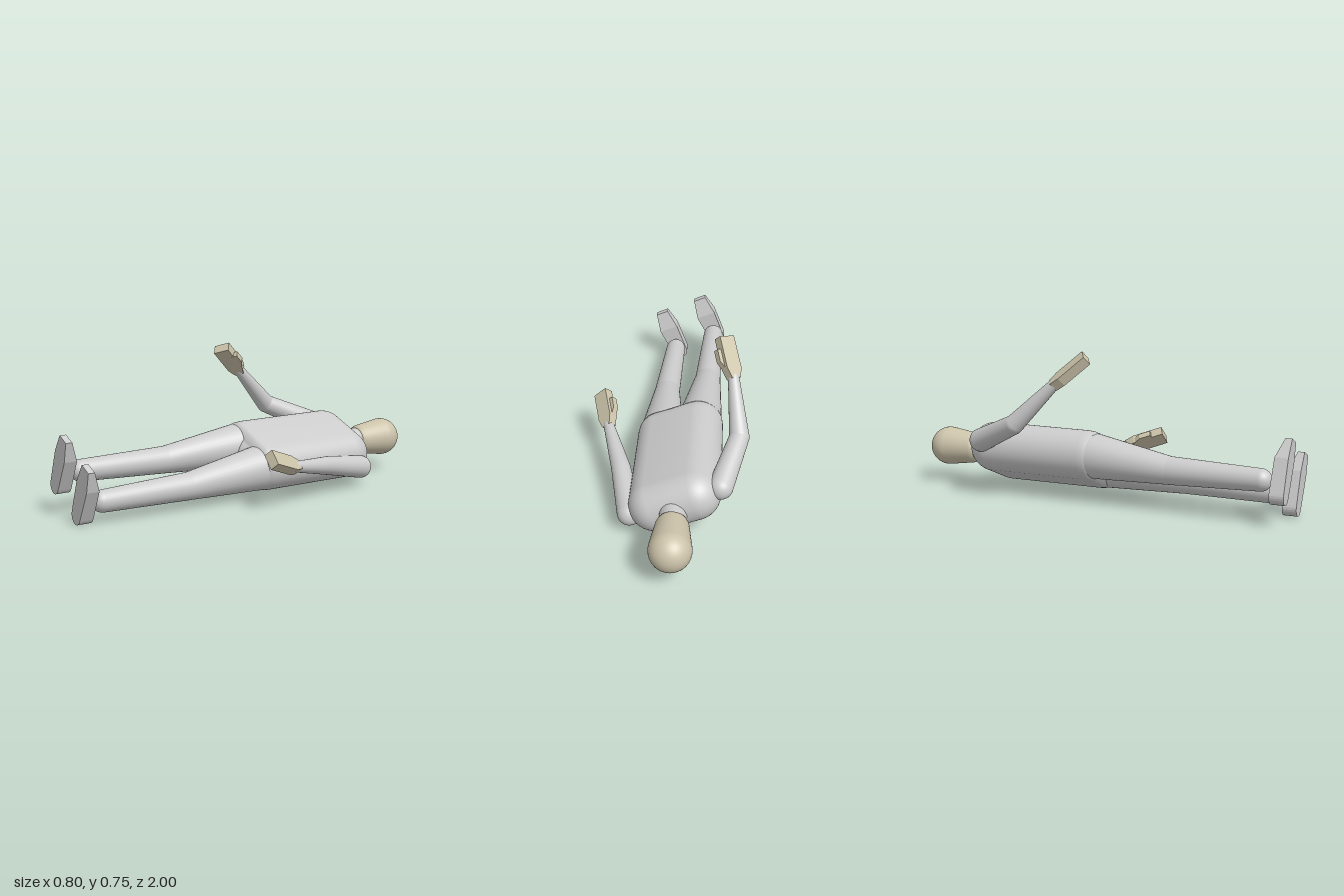
import * as THREE from 'three';
import { ConvexGeometry } from 'three/addons/geometries/ConvexGeometry.js';

const V = (x, y, z) => new THREE.Vector3(x, y, z);
const grey = new THREE.MeshStandardMaterial({ color: 0xcccccc });
const skin = new THREE.MeshStandardMaterial({ color: 0xccc3aa });

function add(parent, name, geometry, material = grey) {
  const mesh = new THREE.Mesh(geometry, material);
  mesh.name = name;
  parent.add(mesh);
  return mesh;
}

// Points of an arc in a lathe profile, angles measured up from the equator
function arc(r, y, from, to, n = 10) {
  return Array.from({ length: n + 1 }, (_, i) => {
    const a = from + (to - from) * i / n;
    return new THREE.Vector2(Math.max(0, r * Math.cos(a)), y + r * Math.sin(a));
  });
}

// Tapered capsule: the skin around two spheres
function taperedCapsule(parent, name, a, ra, b, rb) {
  const length = a.distanceTo(b);
  const tilt = Math.asin((ra - rb) / length);
  const profile = [...arc(ra, 0, -Math.PI / 2, tilt), ...arc(rb, length, tilt, Math.PI / 2)];
  const mesh = add(parent, name, new THREE.LatheGeometry(profile, 32));
  mesh.position.copy(a);
  mesh.quaternion.setFromUnitVectors(V(0, 1, 0), b.clone().sub(a).normalize());
}

function limb(parent, names, joints, radii) {
  names.forEach((name, i) =>
    taperedCapsule(parent, name, joints[i], radii[i], joints[i + 1], radii[i + 1]));
}

// Round body split down the middle and spread into a stadium section
function torsoGeometry(spread) {
  const seg = 48;
  const profile = [
    ...arc(0.1, 0.025, -Math.PI / 2, -0.6, 6),
    new THREE.Vector2(0.112, -0.025), new THREE.Vector2(0.12, 0), new THREE.Vector2(0.123, 0.03),
    ...arc(0.126, 0.555, 0, Math.PI / 2, 14),
  ];
  const start = Math.PI / seg;
  const geo = new THREE.LatheGeometry(profile, seg, start);
  const p = geo.attributes.position;
  for (let k = 0; k < p.count; k++) {
    const phi = start + Math.floor(k / profile.length) * 2 * Math.PI / seg;
    p.setX(k, p.getX(k) + Math.sign(Math.sin(phi)) * spread);
  }
  return geo;
}

// Flat block from an outline in x, y with thickness along z
function slab(outline, z0, z1) {
  return new ConvexGeometry(outline.flatMap(([x, y]) => [V(x, y, z0), V(x, y, z1)]));
}

// Mitten hand: y runs wrist to fingertips, x points to the thumb
function hand(parent, name, wrist, tip, thumbward, palmSide) {
  const group = new THREE.Group();
  group.name = name;
  const y = tip.clone().sub(wrist).normalize();
  const z = thumbward.clone().cross(y).normalize();
  const x = y.clone().cross(z);
  group.quaternion.setFromRotationMatrix(new THREE.Matrix4().makeBasis(x, y, z));
  group.position.copy(wrist);
  add(group, 'palm', slab([[-0.025, -0.01], [0.025, -0.01], [0.041, 0.04], [0.041, 0.2],
    [-0.041, 0.2], [-0.041, 0.04]], -0.024, 0.024), skin);
  add(group, 'thumb', slab([[0.03, 0.03], [0.06, 0.08], [0.06, 0.14], [0.03, 0.14]],
    -0.006 * palmSide, 0.025 * palmSide), skin);
  parent.add(group);
}

// Wedge foot: rounded heel, widest at the ball, thinner at the toes
function footGeometry() {
  const pts = [];
  for (let i = 0; i <= 12; i++) {
    const a = Math.PI + Math.PI * i / 12;
    for (const y of [0, 0.068]) pts.push(V(0.042 * Math.cos(a), y, 0.042 * Math.sin(a)));
  }
  for (const s of [-1, 1]) {
    pts.push(V(s * 0.052, 0, 0.163), V(s * 0.052, 0.064, 0.163));
    pts.push(V(s * 0.034, 0, 0.259), V(s * 0.034, 0.032, 0.259));
  }
  return new ConvexGeometry(pts);
}

export function createModel() {
  const model = new THREE.Group();
  model.name = 'lyingFigure';

  // Trunk, head and feet share an upright frame that is laid back and rolled
  const body = new THREE.Group();
  body.name = 'body';
  body.position.set(-0.058, 0.185, 0);
  body.rotation.set(-Math.PI / 2, 0, -0.4, 'ZYX');
  model.add(body);

  add(body, 'torso', torsoGeometry(0.1));
  add(body, 'neck', new THREE.CylinderGeometry(0.065, 0.065, 0.16, 32)).position.y = 0.68;
  const headProfile = [
    new THREE.Vector2(0, 0.715), new THREE.Vector2(0.06, 0.717), new THREE.Vector2(0.072, 0.725),
    new THREE.Vector2(0.079, 0.745), ...arc(0.1, 0.9, -0.12, Math.PI / 2, 16),
  ];
  add(body, 'head', new THREE.LatheGeometry(headProfile, 40), skin);

  for (const [name, x, z] of [['rightFoot', -0.133, -0.105], ['leftFoot', 0.105, -0.113]]) {
    const foot = add(body, name, footGeometry());
    foot.position.set(x, -1, z);
    foot.rotation.y = 0.025;
  }

  // Legs
  const legRadii = [0.112, 0.068, 0.053];
  limb(model, ['rightThigh', 'rightShin'],
    [V(-0.155, 0.225, 0.01), V(-0.183, 0.197, 0.42), V(-0.2, 0.2, 0.875)], legRadii);
  limb(model, ['leftThigh', 'leftShin'],
    [V(0.037, 0.14, 0.01), V(0.037, 0.106, 0.42), V(0.016, 0.096, 0.875)], legRadii);

  // Arms and hands
  const armRadii = [0.059, 0.048, 0.027];
  const rightWrist = V(-0.315, 0.59, -0.12);
  const leftWrist = V(0.31, 0.192, -0.015);
  limb(model, ['rightUpperArm', 'rightForearm'],
    [V(-0.272, 0.277, -0.565), V(-0.352, 0.385, -0.325), rightWrist], armRadii);
  limb(model, ['leftUpperArm', 'leftForearm'],
    [V(0.156, 0.093, -0.565), V(0.22, 0.145, -0.3), leftWrist], armRadii);
  hand(model, 'rightHand', rightWrist, V(-0.264, 0.719, 0.025), V(0.81, 0.256, -0.52), 1);
  hand(model, 'leftHand', leftWrist, V(0.358, 0.258, 0.168), V(-0.72, 0.69, -0.07), -1);

  return model;
}
